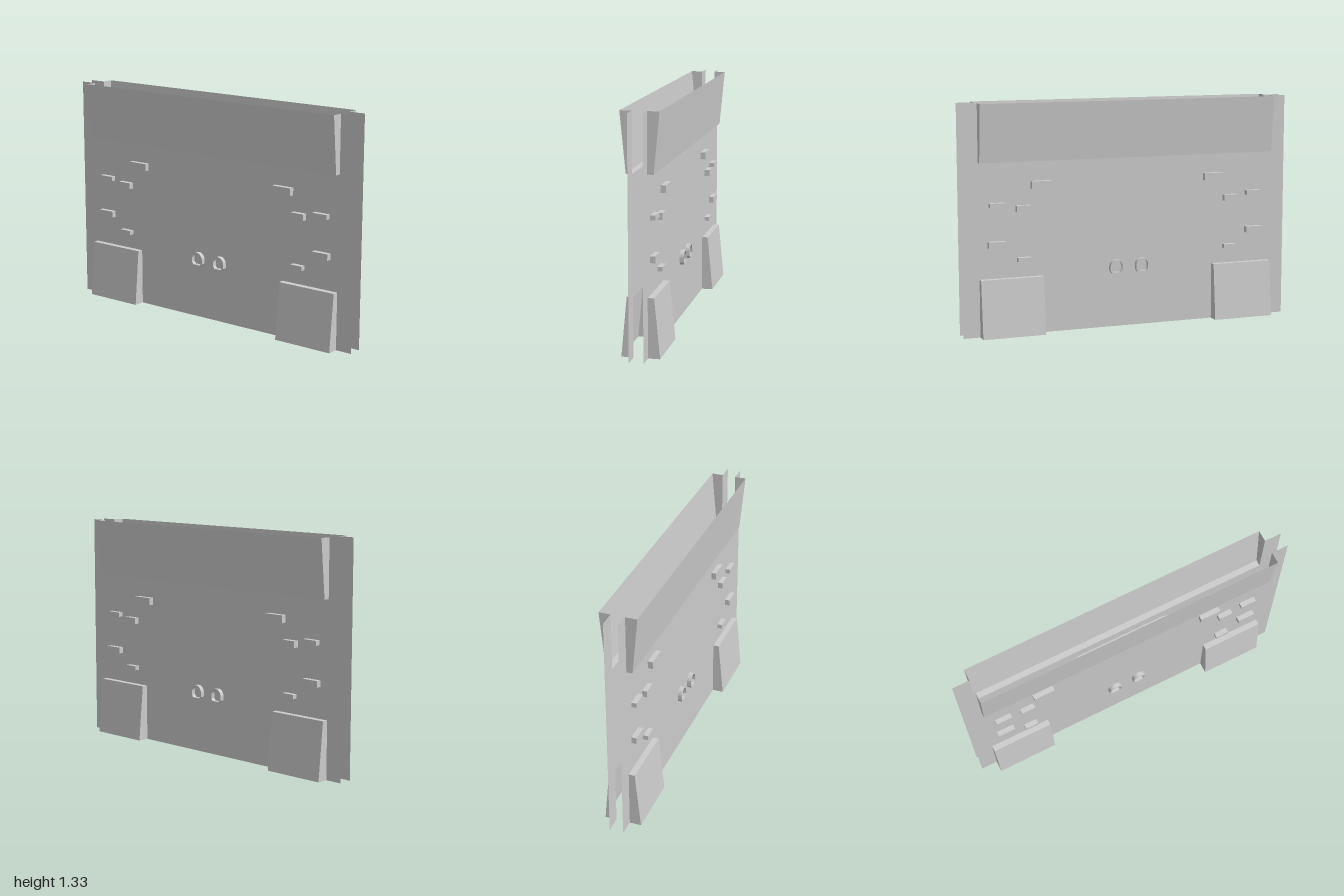
import * as THREE from 'three';

const WALL = 0.04;   // half the distance between the two wall skins
const material = new THREE.MeshStandardMaterial({
  color: 0xcccccc, flatShading: true, side: THREE.DoubleSide,
});

function mesh(name, geometry) {
  const m = new THREE.Mesh(geometry, material);
  m.name = name;
  return m;
}

// Mirrors a half outline (z, y), listed from the outside to the middle
function mirrored(half) {
  const other = half.map(([z, y]) => [-z, y]).reverse();
  return [...half, ...other].map(([z, y]) => new THREE.Vector2(z, y));
}

// Flat outline standing in the plane x = WALL, facing +x
function panel(points) {
  return new THREE.ShapeGeometry(new THREE.Shape(points))
    .rotateY(Math.PI / 2).translate(WALL, 0, 0);
}

// Faces with four corners each
function quads(list) {
  const positions = list.flatMap(([a, b, c, d]) => [a, b, c, a, c, d].flat());
  const g = new THREE.BufferGeometry();
  g.setAttribute('position', new THREE.Float32BufferAttribute(positions, 3));
  g.computeVertexNormals();
  return g;
}

// Hollow flared bay: narrow closed ledge at one end, open at the wide end
function flaredBay(name, z0, z1, yLedge, yOpen) {
  const near = 0.075, far = 0.107;
  const corners = (z) => [
    [WALL, yLedge, z], [near, yLedge, z], [far, yOpen, z], [WALL, yOpen, z],
  ];
  const a = corners(z0), b = corners(z1);
  const faces = [
    [a[0], b[0], b[1], a[1]],
    [a[1], b[1], b[2], a[2]],
    [a[3], a[2], a[1], a[0]].reverse(),
    [b[0], b[1], b[2], b[3]],
  ];
  // keep faces outward when the bay opens upward
  return mesh(name, quads(yOpen > yLedge ? faces : faces.map((f) => [...f].reverse())));
}

// D-shaped pull ring with a flat foot
function pullRing(z) {
  const outline = (path, r, foot) => {
    path.moveTo(-r * 0.7, -foot);
    path.lineTo(r * 0.7, -foot);
    path.lineTo(r, -foot * 0.6);
    path.absarc(0, 0, r, 0, Math.PI, false);
    path.lineTo(-r, -foot * 0.6);
    path.closePath();
    return path;
  };
  const shape = outline(new THREE.Shape(), 0.041, 0.041);
  shape.holes.push(outline(new THREE.Path(), 0.034, 0.034));
  const g = new THREE.ExtrudeGeometry(shape, { depth: 0.025, bevelEnabled: false, curveSegments: 6 });
  return mesh('pullRing', g.rotateY(Math.PI / 2).translate(WALL, 0.36, z));
}

// Right half of the doorway, from the foot to the middle of the lintel
const doorHalf = [[0.507, 0], [0.505, 0.62], [0.445, 0.83], [0.27, 0.925], [0, 0.925]];

// Small wall blocks: z0, z1, y0, y1
const studs = [
  [0.47, 0.595, 0.842, 0.885],
  [0.745, 0.84, 0.743, 0.77],
  [0.6, 0.685, 0.713, 0.75],
  [0.745, 0.85, 0.513, 0.55],
  [0.6, 0.68, 0.425, 0.45],
];

function createFacade() {
  const facade = new THREE.Group();
  facade.name = 'facade';

  // Wall skin, cut out behind the bays and around the doorway
  const wallHalf = [
    [0, 1], [0.9, 1], [0.9, 1.333], [1, 1.333], [1, 0], [0.9, 0],
    [0.9, 0.335], [0.53, 0.335], [0.53, 0], ...doorHalf,
  ];
  const [, ...rest] = wallHalf;
  facade.add(mesh('wallSkin', panel(mirrored(rest.slice(0, -1)))));

  // Door face
  facade.add(mesh('doorFace', panel(mirrored(doorHalf.slice(0, -1)))));

  // Upper bay and the two lower buttresses
  facade.add(flaredBay('upperBay', -0.9, 0.9, 1, 1.333));
  for (const s of [1, -1]) {
    const [z0, z1] = s > 0 ? [0.53, 0.9] : [-0.9, -0.53];
    facade.add(flaredBay('buttress', z0, z1, 0.335, 0));

    for (const [a, b, y0, y1] of studs) {
      const g = new THREE.BoxGeometry(0.03, y1 - y0, b - a);
      g.translate(WALL + 0.015, (y0 + y1) / 2, s * (a + b) / 2);
      facade.add(mesh('wallBlock', g));
    }
    facade.add(pullRing(s * 0.08));
  }
  return facade;
}

// Edge strip of one door leaf, including the face where the leaves meet
function doorLeafEdge(side) {
  const path = [...doorHalf, [0, 0]];
  const faces = path.slice(1).map(([z, y], i) => {
    const [pz, py] = path[i];
    const f = [
      [-WALL, py, side * pz], [WALL, py, side * pz],
      [WALL, y, side * z], [-WALL, y, side * z],
    ];
    return side > 0 ? f : f.reverse();
  });
  return mesh('doorLeafEdge', quads(faces));
}

export function createModel() {
  const model = new THREE.Group();
  model.name = 'gateWall';

  // Two identical facades back to back
  for (const turn of [0, Math.PI]) {
    const facade = createFacade();
    facade.rotation.y = turn;
    model.add(facade);
  }

  // Door leaves between the wall skins
  model.add(doorLeafEdge(1), doorLeafEdge(-1));
  return model;
}
